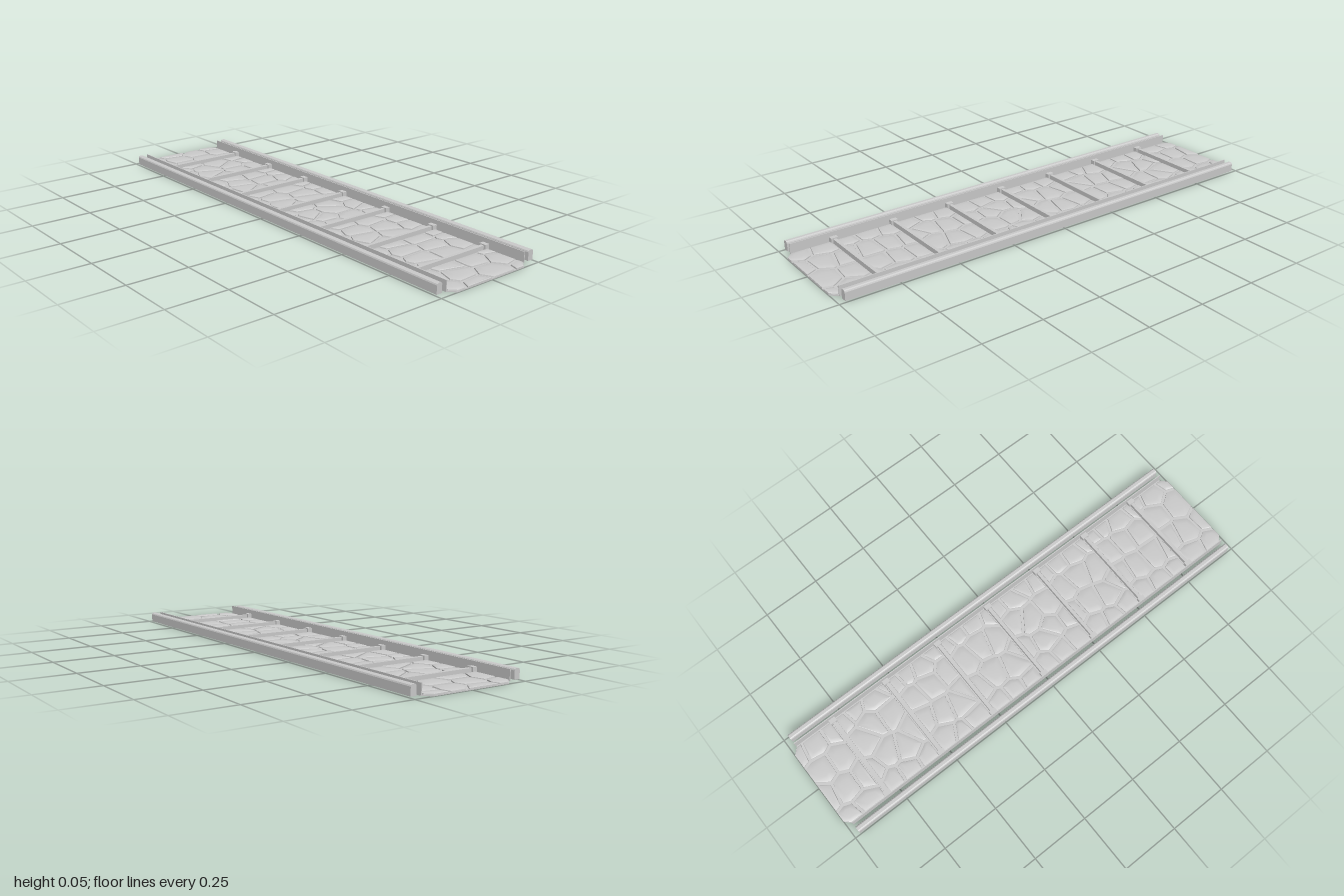
import * as THREE from 'three';
import { mergeGeometries, toCreasedNormals } from 'three/addons/utils/BufferGeometryUtils.js';

const material = new THREE.MeshStandardMaterial({ color: 0xcccccc });
const HALF_W = 0.2, PATH_W = 0.193, RAIL_L = 1.95;
const BASE_TOP = 0.004, GAP = 0.011, PITCH = 0.266;

let seed = 11;
const rand = () => (seed = (seed * 16807) % 2147483647) / 2147483647;

function add(parent, name, geometry, x = 0, y = 0, z = 0) {
  const mesh = new THREE.Mesh(geometry, material);
  mesh.name = name;
  mesh.position.set(x, y, z);
  parent.add(mesh);
  return mesh;
}

// Keep the part of a polygon where nx*x + nz*z <= d
function clip(poly, nx, nz, d) {
  const out = [];
  poly.forEach((a, i) => {
    const b = poly[(i + 1) % poly.length];
    const da = nx * a[0] + nz * a[1] - d, db = nx * b[0] + nz * b[1] - d;
    if (da <= 0) out.push(a);
    if (da * db < 0) {
      const t = da / (da - db);
      out.push([a[0] + (b[0] - a[0]) * t, a[1] + (b[1] - a[1]) * t]);
    }
  });
  return out;
}

// A low domed stone: rings of the outline shrinking toward the middle
function stoneGeometry(poly) {
  const n = poly.length;
  const cx = poly.reduce((s, p) => s + p[0], 0) / n;
  const cz = poly.reduce((s, p) => s + p[1], 0) / n;
  const rings = [[1, 0.003], [0.98, 0.0085], [0.9, 0.01], [0.5, 0.0115]];
  const pos = [], idx = [];
  for (const [s, y] of rings)
    for (const [x, z] of poly) pos.push(cx + (x - cx) * s, y, cz + (z - cz) * s);
  pos.push(cx, 0.012, cz);
  rings.forEach((_, r) => {
    for (let i = 0; i < n; i++) {
      const a = r * n + i, b = r * n + (i + 1) % n;
      if (r === rings.length - 1) idx.push(a, b, rings.length * n);
      else idx.push(a, b, b + n, a, b + n, a + n);
    }
  });
  const g = new THREE.BufferGeometry();
  g.setAttribute('position', new THREE.Float32BufferAttribute(pos, 3));
  g.setIndex(idx);
  return toCreasedNormals(g, 0.5);
}

// Fill one panel with irregular cells grown around jittered points
function stonePanel(z0, z1) {
  const rows = Math.max(2, Math.round((z1 - z0) / 0.085));
  const step = (z1 - z0) / rows, sites = [];
  for (let c = 0; c < 4; c++)
    for (let r = -(c % 2); r < rows; r++)
      sites.push([
        -0.172 + c * 0.115 + (rand() - 0.5) * 0.05,
        z0 + (r + 0.5 + (c % 2) * 0.5) * step + (rand() - 0.5) * 0.045,
      ]);
  const stones = [];
  for (const s of sites) {
    let poly = [[-PATH_W, z0], [-PATH_W, z1], [PATH_W, z1], [PATH_W, z0]];
    for (const o of sites) {
      if (o === s) continue;
      const dx = o[0] - s[0], dz = o[1] - s[1], len = Math.hypot(dx, dz);
      const nx = dx / len, nz = dz / len;
      poly = clip(poly, nx, nz, nx * (s[0] + o[0]) / 2 + nz * (s[1] + o[1]) / 2 - GAP / 2);
    }
    // cut corners at the two ends of the path
    for (const sx of [-1, 1]) for (const sz of [-1, 1]) poly = clip(poly, sx, sz, 1.168);
    if (poly.length > 2) stones.push(stoneGeometry(poly));
  }
  return mergeGeometries(stones);
}

// Outline in x/y extruded along z and centred
function extrudeAlongZ(points, length) {
  const shape = new THREE.Shape(points.map(p => new THREE.Vector2(...p)));
  return new THREE.ExtrudeGeometry(shape, { depth: length, bevelEnabled: false })
    .translate(0, 0, -length / 2);
}

export function createModel() {
  const group = new THREE.Group();

  // Base slab with cut corners
  const c = 0.03, w = HALF_W;
  const slab = new THREE.Shape([
    [-w, -1 + c], [-w + c, -1], [w - c, -1], [w, -1 + c],
    [w, 1 - c], [w - c, 1], [-w + c, 1], [-w, 1 - c],
  ].map(p => new THREE.Vector2(...p)));
  add(group, 'baseSlab', new THREE.ExtrudeGeometry(slab, { depth: BASE_TOP, bevelEnabled: false })
    .rotateX(-Math.PI / 2));

  // Cross bars with a raised block at each end
  const bars = [];
  for (let i = -3; i <= 3; i++) {
    const z = i * PITCH;
    bars.push(z);
    add(group, 'crossBar', new THREE.BoxGeometry(0.39, 0.02, 0.014), 0, 0.013, z);
    for (const s of [-1, 1])
      add(group, 'barEndBlock', new THREE.BoxGeometry(0.02, 0.024, 0.03), s * 0.188, 0.015, z);
  }

  // Paving between the bars
  const edges = [-1, ...bars, 1];
  for (let i = 0; i < edges.length - 1; i++) {
    const z0 = edges[i] + (i ? 0.012 : 0);
    const z1 = edges[i + 1] - (i < edges.length - 2 ? 0.012 : 0);
    add(group, 'pavingStones', stonePanel(z0, z1));
  }

  // Thin side plates and free-standing rails with rounded tops
  const rail = [
    [-0.0125, 0.004], [0.0125, 0.004], [0.0125, 0.037], [0.0105, 0.042], [0.006, 0.045],
    [-0.006, 0.045], [-0.0105, 0.042], [-0.0125, 0.037],
  ];
  for (const s of [-1, 1]) {
    add(group, 'sidePlate', new THREE.BoxGeometry(0.004, 0.042, RAIL_L), s * 0.2005, 0.024, 0);
    add(group, 'sideRail', extrudeAlongZ(rail, RAIL_L), s * 0.2345, 0, 0);
  }
  return group;
}
